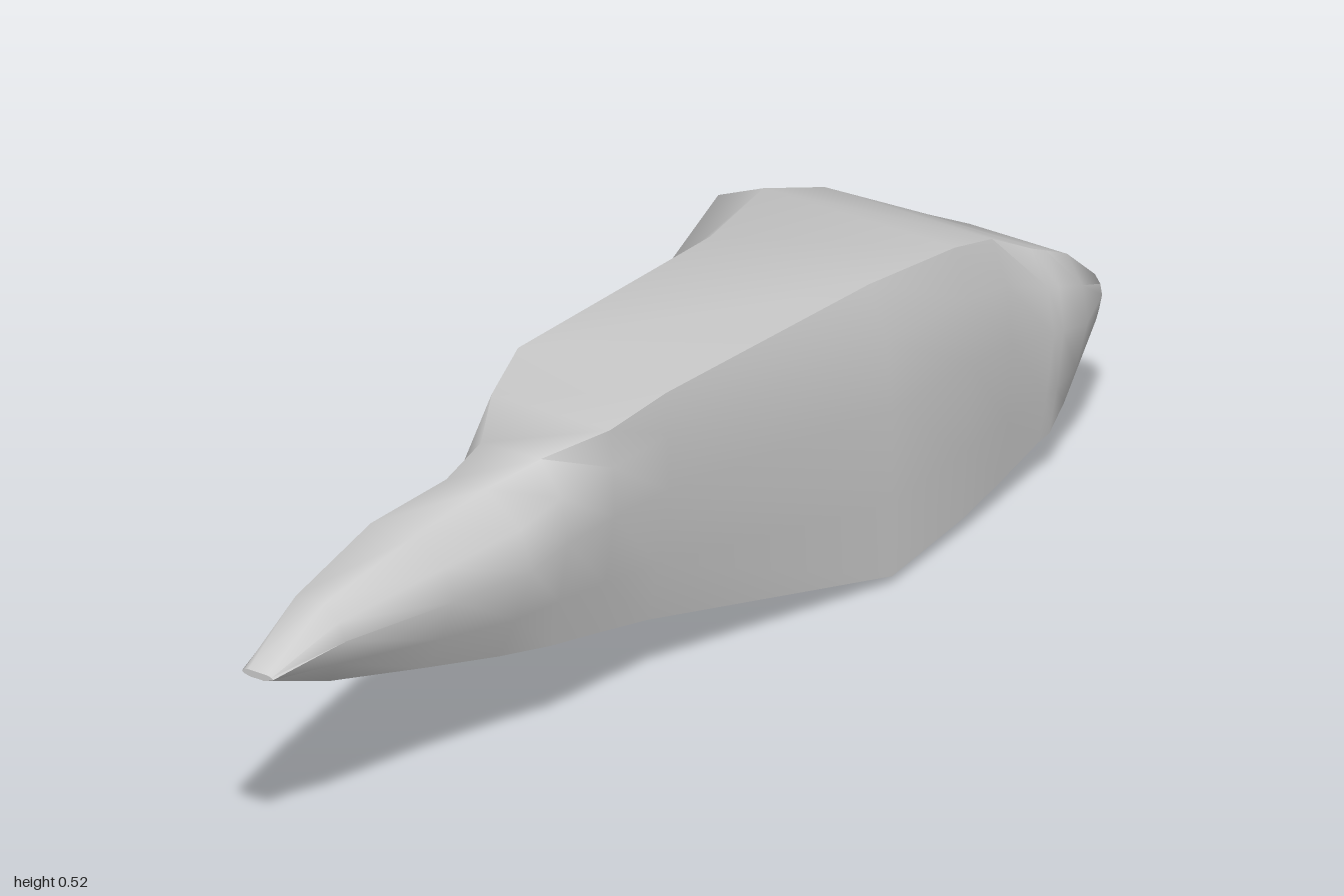
import * as THREE from 'three';
import { toCreasedNormals } from 'three/addons/utils/BufferGeometryUtils.js';

// Cross-sections from the pointed front to the blunt back:
// z, left x, right x, bottom y, top y, then fractions of that box:
// top-left corner, top-right corner, height of left bulge, keel, bottom-right corner
const SECTIONS = [
  [1.0, 0.03, 0.09, 0.37, 0.382, 0.2, 0.8, 0.5, 0.3, 0.7],
  [0.86, 0.01, 0.125, 0.315, 0.45, 0.18, 0.65, 0.4, 0.15, 0.75],
  [0.62, -0.03, 0.16, 0.238, 0.468, 0.15, 0.6, 0.15, 0.04, 0.72],
  [0.46, -0.035, 0.192, 0.195, 0.487, 0.27, 0.6, 0.25, 0.06, 0.72],
  [0.36, -0.052, 0.187, 0.178, 0.508, 0.3, 0.78, 0.35, 0.1, 0.86],
  [0.24, -0.08, 0.188, 0.148, 0.522, 0.12, 0.97, 0.4, 0.12, 0.87],
  [0.1, -0.125, 0.19, 0.11, 0.529, 0.08, 0.98, 0.45, 0.15, 0.87],
  [-0.4, -0.247, 0.252, 0.005, 0.516, 0.3, 0.91, 0.43, 0.52, 1.0],
  [-0.6, -0.275, 0.258, 0.02, 0.502, 0.25, 0.94, 0.66, 0.5, 0.97],
  [-0.71, -0.225, 0.255, 0.04, 0.468, 0.25, 0.92, 0.7, 0.48, 0.96],
  [-0.81, -0.165, 0.262, 0.065, 0.41, 0.25, 0.9, 0.8, 0.5, 0.93],
  [-0.83, -0.08, 0.266, 0.075, 0.402, 0.25, 0.9, 0.66, 0.45, 0.92],
  [-0.89, -0.035, 0.268, 0.1, 0.37, 0.25, 0.87, 0.62, 0.45, 0.85],
  [-1.0, 0.16, 0.215, 0.2, 0.28, 0.3, 0.75, 0.6, 0.5, 0.8],
];

// Anticlockwise outline of one section, seen from the front
function ring([z, x0, x1, y0, y1, tl, tr, lv, keel, br]) {
  return [
    [br, 0.03], [(1 + br) / 2, 0.28], [1, 0.6], [(3 + tr) / 4, 0.83],
    [tr, 1], [tl, 0.98],
    [tl * 0.35, Math.min((1 + lv) / 2 + 0.07, 0.93)], [0, lv],
    [keel * 0.25, lv * 0.4], [keel, 0], [(keel + br) / 2, 0.055],
  ].map(([u, v]) => [x0 + u * (x1 - x0), y0 + v * (y1 - y0), z]);
}

function shardGeometry() {
  const rings = SECTIONS.map(ring);
  const n = rings[0].length;
  const last = rings.length - 1;
  const positions = rings.flat(2);
  const index = [];

  // Skin between neighbouring sections
  for (let i = 0; i < last; i++) {
    for (let j = 0; j < n; j++) {
      const k = (j + 1) % n;
      const a = i * n + j, b = i * n + k, c = a + n, d = b + n;
      index.push(a, c, b, b, c, d);
    }
  }

  // Caps at both ends
  for (const end of [0, last]) {
    const centre = positions.length / 3;
    for (let axis = 0; axis < 3; axis++) {
      positions.push(rings[end].reduce((sum, p) => sum + p[axis], 0) / n);
    }
    for (let j = 0; j < n; j++) {
      const a = end * n + j, b = end * n + (j + 1) % n;
      if (end === 0) index.push(centre, a, b);
      else index.push(centre, b, a);
    }
  }

  const geometry = new THREE.BufferGeometry();
  geometry.setAttribute('position', new THREE.Float32BufferAttribute(positions, 3));
  geometry.setIndex(index);
  return toCreasedNormals(geometry, THREE.MathUtils.degToRad(62));
}

export function createModel() {
  const group = new THREE.Group();
  group.name = 'rockShard';
  const rock = new THREE.Mesh(
    shardGeometry(),
    new THREE.MeshStandardMaterial({ color: 0xcccccc })
  );
  rock.name = 'rock';
  group.add(rock);
  return group;
}
